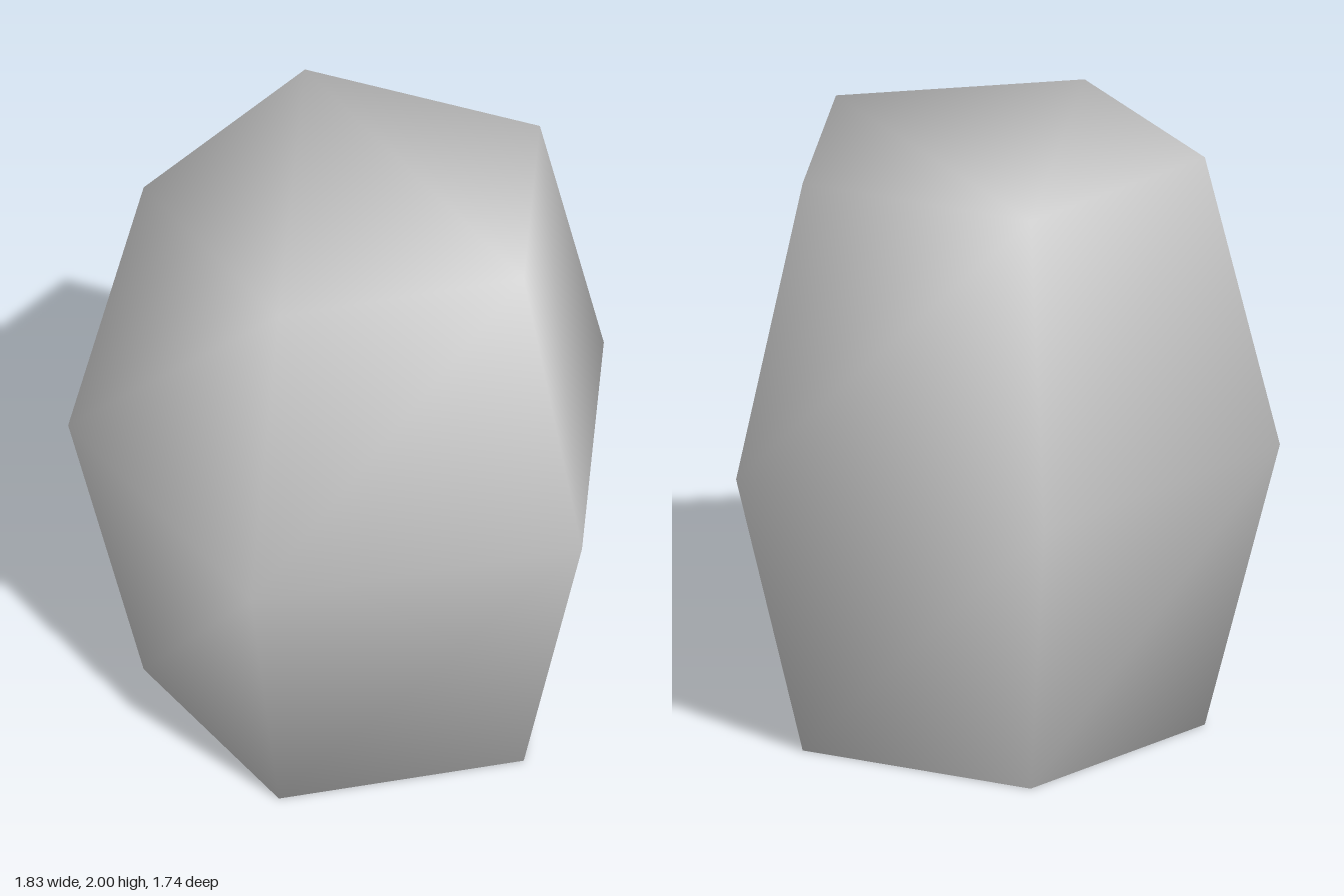
import * as THREE from 'three';

// Five-sided barrel stone: three pentagon rings joined by smooth-shaded sides.
const SIDES = 5;
const CENTRE_Z = 0.092;
const RINGS = [[0, 0.71], [1, 0.96], [2, 0.71]]; // height, radius

function barrelGeometry() {
  const positions = [];
  const index = [];

  // Ring corners, starting at the back and running anticlockwise from above
  for (const [y, r] of RINGS) {
    for (let k = 0; k < SIDES; k++) {
      const a = (k / SIDES) * Math.PI * 2;
      positions.push(-r * Math.sin(a), y, CENTRE_Z - r * Math.cos(a));
    }
  }

  // Side walls
  for (let ring = 0; ring < RINGS.length - 1; ring++) {
    const low = ring * SIDES;
    const high = low + SIDES;
    for (let k = 0; k < SIDES; k++) {
      const n = (k + 1) % SIDES;
      index.push(low + k, low + n, high + n, low + k, high + n, high + k);
    }
  }

  // Flat top and bottom, sharing corners with the walls so shading stays smooth
  const top = (RINGS.length - 1) * SIDES;
  for (let k = 1; k < SIDES - 1; k++) {
    index.push(top, top + k, top + k + 1);
    index.push(SIDES - 1, k, k - 1);
  }

  const geometry = new THREE.BufferGeometry();
  geometry.setAttribute('position', new THREE.Float32BufferAttribute(positions, 3));
  geometry.setIndex(index);
  geometry.computeVertexNormals();
  return geometry;
}

export function createModel() {
  const grey = new THREE.MeshStandardMaterial({ color: 0xcccccc });
  grey.name = 'light grey';

  const barrel = new THREE.Mesh(barrelGeometry(), grey);
  barrel.name = 'pentagonBarrel';

  const model = new THREE.Group();
  model.name = 'pentagonStone';
  model.add(barrel);
  return model;
}
